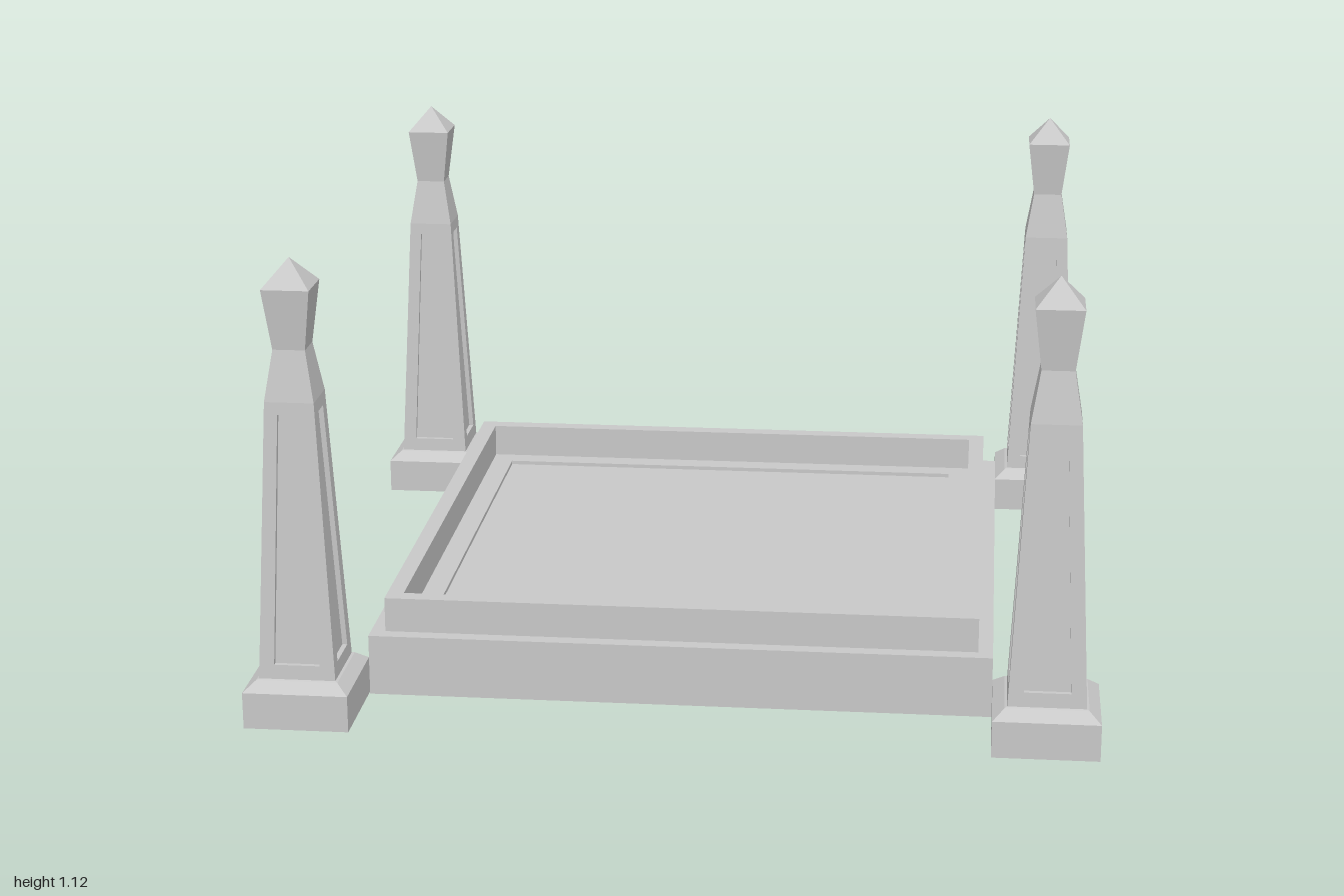
import * as THREE from 'three';

const stone = new THREE.MeshStandardMaterial({ color: 0xc8c8c8 });
stone.name = 'stone grey';

// Square solid swept from a profile of [half width, height] points, bottom to top
function squareLathe(name, profile) {
  const pts = profile.map(([w, y]) => new THREE.Vector2(w * Math.SQRT2, y));
  const geo = new THREE.LatheGeometry(pts, 4, Math.PI / 4).toNonIndexed();
  geo.computeVertexNormals();
  const mesh = new THREE.Mesh(geo, stone);
  mesh.name = name;
  return mesh;
}

// Tapered four-sided shaft with a recessed panel in each face
function panelledShaft() {
  const y0 = 0.12, y1 = 0.79, w0 = 0.091, w1 = 0.058;
  const half = y => w0 + (w1 - w0) * (y - y0) / (y1 - y0);
  const ring = (yb, yt, wb, wt, inset) => [[-wb, yb], [wb, yb], [wt, yt], [-wt, yt]]
    .map(([x, y]) => new THREE.Vector3(x, y, half(y) - inset));
  const rings = [
    ring(y0, y1, w0, w1, 0),
    ring(0.155, 0.76, 0.054, 0.028, 0),
    ring(0.155, 0.76, 0.054, 0.028, 0.012),
  ];
  const side = [];
  const quad = (a, b, c, d) => side.push(a, b, c, a, c, d);
  for (let r = 0; r < 2; r++) {
    for (let i = 0; i < 4; i++) {
      const j = (i + 1) % 4;
      quad(rings[r][i], rings[r][j], rings[r + 1][j], rings[r + 1][i]);
    }
  }
  quad(...rings[2]);

  const up = new THREE.Vector3(0, 1, 0);
  const points = [];
  for (let k = 0; k < 4; k++) {
    for (const p of side) points.push(p.clone().applyAxisAngle(up, k * Math.PI / 2));
  }
  const geo = new THREE.BufferGeometry().setFromPoints(points);
  geo.computeVertexNormals();
  const mesh = new THREE.Mesh(geo, stone);
  mesh.name = 'panelledShaft';
  return mesh;
}

// Corner obelisk: plinth, shaft, waisted neck and pointed cap
function makePillar() {
  const pillar = new THREE.Group();
  pillar.add(
    squareLathe('plinth', [[0, 0.006], [0.125, 0.006], [0.125, 0.095], [0.097, 0.118], [0.088, 0.121]]),
    panelledShaft(),
    squareLathe('neck', [[0.058, 0.79], [0.038, 0.91], [0.056, 1.055]]),
    squareLathe('cap', [[0.056, 1.055], [0, 1.12]]),
  );
  return pillar;
}

export function createModel() {
  const model = new THREE.Group();
  model.name = 'courtyardPlatform';

  // Platform with a raised kerb, inner ledge and slightly sunken floor
  model.add(
    squareLathe('foundation', [[0, 0], [0.75, 0], [0.75, 0.15], [0.715, 0.15]]),
    squareLathe('kerb', [[0.715, 0.15], [0.715, 0.235], [0.675, 0.235], [0.675, 0.15]]),
    squareLathe('floor', [[0.675, 0.15], [0.62, 0.15], [0.62, 0.14], [0, 0.14]]),
  );

  // One pillar at each corner
  for (const [x, xName] of [[1, 'Left'], [-1, 'Right']]) {
    for (const [z, zName] of [[1, 'front'], [-1, 'back']]) {
      const pillar = makePillar();
      pillar.name = zName + xName + 'Pillar';
      pillar.position.set(x * 0.875, 0, z * 0.875);
      model.add(pillar);
    }
  }
  return model;
}
